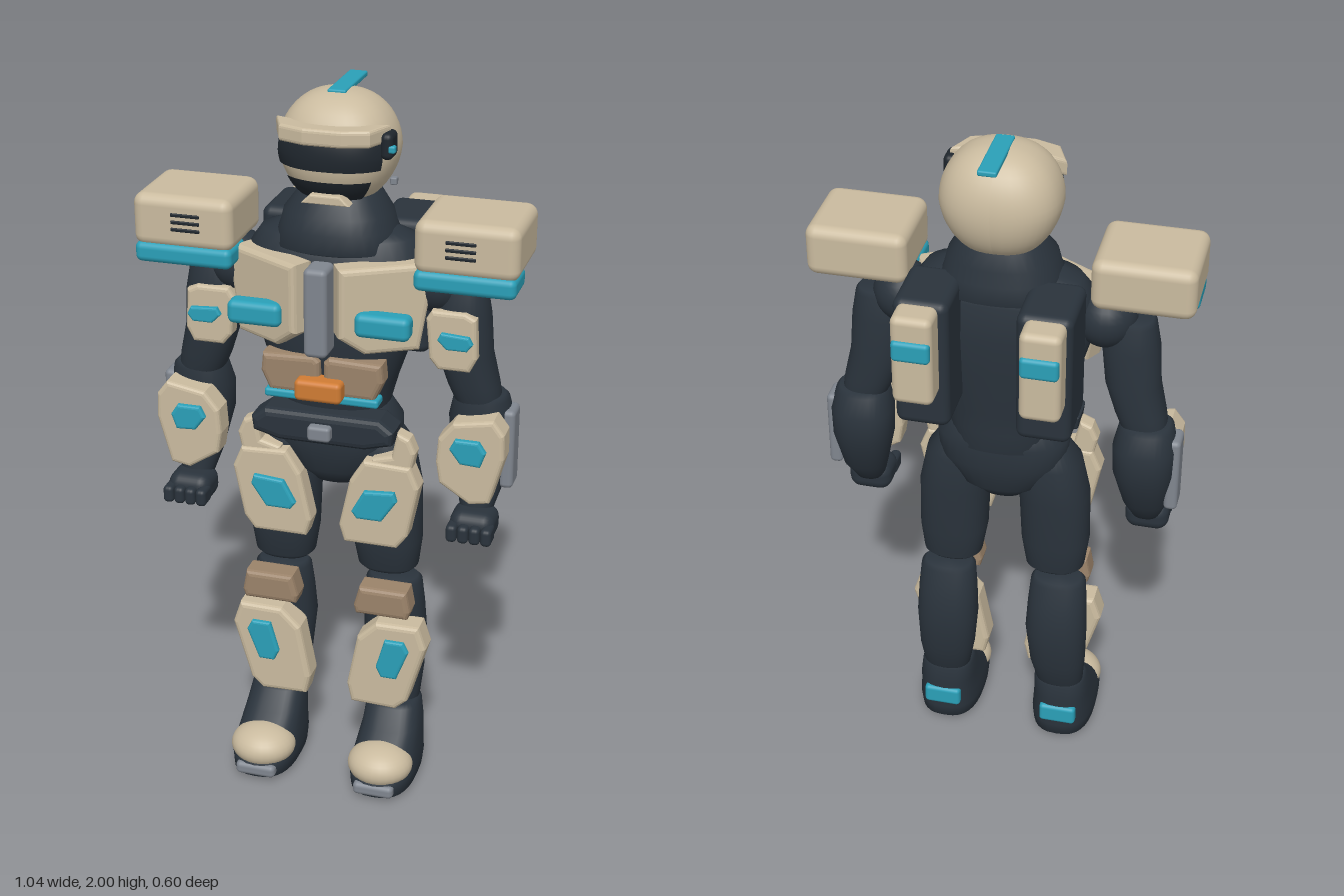
import * as THREE from 'three';
import { RoundedBoxGeometry } from 'three/addons/geometries/RoundedBoxGeometry.js';

const mat = (name, color) => new THREE.MeshStandardMaterial({ name, color });
const M = {
  tan: mat('tan armour', 0xcabb9f), dark: mat('dark suit', 0x2a333c), teal: mat('teal accent', 0x2aa0b8),
  brown: mat('brown padding', 0x9b836a), orange: mat('orange buckle', 0xd07c34),
  grey: mat('grey metal', 0x80868f), visor: mat('visor', 0x1f262d),
};
M.visor.side = THREE.DoubleSide;

// Squares off a circle slightly when the power is below 1
const bend = (v, power) => Math.sign(v) * Math.abs(v) ** power;

export function createModel() {
  const model = new THREE.Group();
  model.name = 'armouredFigure';

  const add = (name, geo, m, x = 0, y = 0, z = 0, parent = model) => {
    const mesh = new THREE.Mesh(geo, m);
    mesh.name = name;
    mesh.position.set(x, y, z);
    parent.add(mesh);
    return mesh;
  };

  // Rounded box given by its limits on each axis
  const box = (name, m, [x0, x1], [y0, y1], [z0, z1], r = 0.012, parent = model) => {
    const w = Math.abs(x1 - x0), h = y1 - y0, d = z1 - z0;
    const geo = new RoundedBoxGeometry(w, h, d, 3, Math.min(r, w * 0.45, h * 0.45, d * 0.45));
    return add(name, geo, m, (x0 + x1) / 2, (y0 + y1) / 2, (z0 + z1) / 2, parent);
  };

  // Bevelled plate from an outline in x, y, between two depths
  const plate = (name, m, s, pts, z0, z1, parent = model, bevel = 0.012) => {
    const b = Math.min(bevel, (z1 - z0) * 0.4);
    const geo = new THREE.ExtrudeGeometry(new THREE.Shape(pts.map(([x, y]) => new THREE.Vector2(x * s, y))), {
      depth: z1 - z0 - 2 * b, bevelEnabled: true, bevelThickness: b, bevelSize: b, bevelOffset: -b, bevelSegments: 3,
    });
    return add(name, geo, m, 0, 0, z0 + b, parent);
  };

  // Smooth body through rings [y, x, z, rx, rz], bottom to top, with rounded ends
  const loft = (name, m, rings, s = 1, parent = model, power = 0.85) => {
    const N = 32, pos = [], idx = [];
    const shrink = ([y, x, z, a, b], dy, k) => [y + dy, x, z, a * k, b * k];
    const first = rings[0], last = rings[rings.length - 1];
    const all = [shrink(first, 0, 0.001), shrink(first, 0, 0.85), shrink(first, 0.012, 1), ...rings.slice(1, -1),
      shrink(last, -0.012, 1), shrink(last, 0, 0.85), shrink(last, 0, 0.001)];
    for (const [y, x, z, rx, rz] of all)
      for (let i = 0; i < N; i++) {
        const t = (i / N) * Math.PI * 2;
        pos.push(x * s + rx * bend(Math.cos(t), power), y, z + rz * bend(Math.sin(t), power));
      }
    for (let j = 0; j < all.length - 1; j++)
      for (let i = 0; i < N; i++) {
        const a = j * N + i, b = j * N + (i + 1) % N;
        idx.push(a, a + N, b, b, a + N, b + N);
      }
    const geo = new THREE.BufferGeometry();
    geo.setAttribute('position', new THREE.Float32BufferAttribute(pos, 3));
    geo.setIndex(idx);
    geo.computeVertexNormals();
    return add(name, geo, m, 0, 0, 0, parent);
  };

  // Patch of the helmet surface: half-width and polar limits in radians, outward scale
  const headPatch = (name, m, half, t0, t1, grow) => {
    const geo = new THREE.SphereGeometry(1, 40, 24, Math.PI / 2 - half, half * 2, t0, t1 - t0);
    const p = geo.attributes.position;
    for (let i = 0; i < p.count; i++) {
      const y = p.getY(i), z = p.getZ(i), taper = 1 + 0.1 * Math.min(0, y);
      p.setXYZ(i, 0.16 * grow * taper * bend(p.getX(i), 0.85), 0.152 * y, (z > 0 ? 0.148 : 0.138) * grow * bend(z, 0.85));
    }
    geo.computeVertexNormals();
    add(name, geo, m, 0, 1.845, 0.015);
  };

  // Helmet, visor, mouth guard, brim and crest
  headPatch('helmet', M.tan, Math.PI, 0, Math.PI, 1);
  headPatch('visor', M.visor, 0.95, 1.27, 1.77, 1.045);
  headPatch('mouthGuard', M.visor, 0.8, 1.98, 2.6, 1.05);
  const brim = new THREE.Shape([[-0.145, -0.09], [-0.115, -0.155], [-0.05, -0.178], [0.05, -0.178], [0.115, -0.155],
    [0.145, -0.09], [0.1, -0.105], [-0.1, -0.105]].map(([x, y]) => new THREE.Vector2(x, y)));
  const brimGeo = new THREE.ExtrudeGeometry(brim, { depth: 0.025, bevelThickness: 0.01, bevelSize: 0.008, bevelSegments: 3 });
  brimGeo.rotateX(-Math.PI / 2);
  add('brim', brimGeo, M.tan, 0, 1.895, 0);
  plate('chinGuard', M.tan, 1, [[-0.065, 1.725], [0.065, 1.725], [0.04, 1.75], [-0.04, 1.75]], 0.12, 0.16, model, 0.006);
  box('crest', M.teal, [-0.025, 0.025], [1.985, 2.0], [-0.15, 0.055], 0.005);
  box('earUnit', M.visor, [0.135, 0.168], [1.845, 1.915], [0.06, 0.125], 0.015);
  box('earLight', M.teal, [0.155, 0.176], [1.865, 1.885], [0.105, 0.125], 0.006);
  box('cheekStud', M.grey, [0.14, 0.158], [1.755, 1.775], [0.02, 0.04], 0.004);

  // Trunk
  loft('collar', M.dark, [[1.58, 0, 0.03, 0.18, 0.14], [1.64, 0, 0.03, 0.155, 0.13], [1.68, 0, 0.03, 0.145, 0.12],
    [1.74, 0, 0.02, 0.11, 0.1]]);
  loft('torso', M.dark, [[1.08, 0, 0.04, 0.15, 0.11], [1.15, 0, 0.045, 0.15, 0.11], [1.22, 0, 0.05, 0.17, 0.125],
    [1.35, 0, 0.05, 0.215, 0.135], [1.47, 0, 0.045, 0.25, 0.14], [1.57, 0, 0.04, 0.245, 0.125], [1.62, 0, 0.035, 0.21, 0.1],
    [1.645, 0, 0.03, 0.17, 0.08]]);
  loft('pelvis', M.dark, [[0.9, 0, 0.045, 0.075, 0.06], [0.95, 0, 0.045, 0.125, 0.095], [1.03, 0, 0.045, 0.185, 0.11],
    [1.1, 0, 0.045, 0.185, 0.11], [1.16, 0, 0.045, 0.15, 0.1]]);
  box('sternum', M.grey, [-0.032, 0.032], [1.335, 1.58], [0.17, 0.255], 0.015);
  box('waistStrip', M.teal, [-0.158, 0.158], [1.188, 1.212], [0.15, 0.205], 0.008);
  box('buckle', M.orange, [-0.065, 0.065], [1.2, 1.26], [0.17, 0.238], 0.014);
  plate('belt', M.dark, 1, [[-0.16, 1.15], [0.16, 1.15], [0.2, 1.12], [0.195, 1.08], [0.12, 1.06], [-0.12, 1.06],
    [-0.195, 1.08], [-0.2, 1.12]], 0.1, 0.205, model, 0.02);
  box('beltClasp', M.grey, [-0.032, 0.032], [1.082, 1.125], [0.195, 0.23], 0.01);

  for (const s of [1, -1]) {
    const side = new THREE.Group();
    side.name = s > 0 ? 'leftSide' : 'rightSide';
    model.add(side);
    const sBox = (name, m, [x0, x1], y, z, r) => box(name, m, [x0 * s, x1 * s], y, z, r, side);
    const sPlate = (name, m, pts, z0, z1, b) => plate(name, m, s, pts, z0, z1, side, b);
    const sLoft = (name, m, rings, p) => loft(name, m, rings, s, side, p);

    // Angled chest plate, its light and the belly pad
    const chest = sPlate('chestPlate', M.tan, [[0, 1.39], [0.07, 1.34], [0.22, 1.34], [0.255, 1.54], [0.23, 1.58],
      [0, 1.58]], 0, 0.075, 0.015);
    chest.position.set(0.033 * s, 0, 0.19);
    chest.rotation.y = s * 0.52;
    sBox('chestLight', M.teal, [0.1, 0.248], [1.4, 1.465], [0.18, 0.24], 0.018);
    sPlate('bellyPad', M.brown, [[0.005, 1.25], [0.045, 1.205], [0.145, 1.205], [0.17, 1.26], [0.165, 1.31], [0.02, 1.315],
      [0.005, 1.3]], 0.13, 0.2, 0.015);

    // Back pod
    sBox('backPod', M.dark, [0.088, 0.236], [1.262, 1.642], [-0.218, -0.02], 0.025);
    sBox('podThruster', M.tan, [0.112, 0.222], [1.375, 1.635], [-0.29, -0.2], 0.02);
    sBox('podLight', M.teal, [0.116, 0.218], [1.51, 1.57], [-0.3, -0.27], 0.012);

    // Shoulder pad
    sBox('shoulderPad', M.tan, [0.244, 0.52], [1.575, 1.72], [-0.05, 0.2], 0.03);
    sBox('shoulderTrim', M.teal, [0.246, 0.515], [1.532, 1.588], [0.075, 0.204], 0.018);
    for (let i = 0; i < 3; i++)
      sBox('shoulderVent', M.visor, [0.33, 0.41], [1.627 + i * 0.02, 1.637 + i * 0.02], [0.196, 0.203], 0.003);
    add('shoulderJoint', new THREE.SphereGeometry(0.085, 24, 16), M.dark, 0.275 * s, 1.51, 0.045, side);

    // Arm
    sLoft('upperArm', M.dark, [[1.15, 0.4, 0.035, 0.06, 0.06], [1.23, 0.38, 0.04, 0.07, 0.065],
      [1.32, 0.355, 0.045, 0.075, 0.07], [1.43, 0.345, 0.05, 0.078, 0.07], [1.515, 0.345, 0.05, 0.065, 0.06]]);
    sPlate('upperArmPlate', M.tan, [[0.275, 1.32], [0.3, 1.29], [0.385, 1.29], [0.405, 1.33], [0.4, 1.44], [0.37, 1.455],
      [0.28, 1.455], [0.265, 1.43]], 0.075, 0.132);
    sPlate('upperArmLight', M.teal, [[0.3, 1.38], [0.325, 1.355], [0.38, 1.355], [0.395, 1.375], [0.385, 1.395],
      [0.31, 1.4]], 0.12, 0.146, 0.006);
    sLoft('forearm', M.dark, [[0.86, 0.405, 0.07, 0.045, 0.045], [0.93, 0.405, 0.04, 0.062, 0.06],
      [1.05, 0.4, 0.018, 0.085, 0.082], [1.13, 0.4, 0.02, 0.088, 0.08], [1.2, 0.4, 0.03, 0.075, 0.07]]);
    sPlate('forearmPlate', M.tan, [[0.305, 1.03], [0.315, 0.97], [0.4, 0.915], [0.455, 0.925], [0.492, 1.06], [0.49, 1.13],
      [0.46, 1.17], [0.35, 1.15], [0.31, 1.1]], 0.075, 0.155);
    sPlate('forearmLight', M.teal, [[0.345, 1.08], [0.375, 1.04], [0.43, 1.037], [0.445, 1.08], [0.425, 1.11],
      [0.36, 1.11]], 0.14, 0.17, 0.008);
    sBox('forearmGuard', M.grey, [0.462, 0.5], [0.935, 1.165], [-0.01, 0.07], 0.014);
    sBox('hand', M.dark, [0.345, 0.47], [0.8, 0.888], [0.05, 0.165], 0.035);
    for (let i = 0; i < 4; i++)
      sBox('finger', M.dark, [0.345 + i * 0.032, 0.375 + i * 0.032], [0.812, 0.862], [0.13, 0.19], 0.012);

    // Hip and thigh
    sPlate('hipPlate', M.tan, [[0.125, 0.985], [0.16, 0.965], [0.235, 0.97], [0.252, 1.05], [0.235, 1.09], [0.2, 1.105],
      [0.185, 1.035], [0.13, 1.02]], 0.11, 0.165);
    sLoft('thigh', M.dark, [[0.642, 0.152, 0.05, 0.085, 0.068], [0.74, 0.15, 0.055, 0.098, 0.08],
      [0.9, 0.145, 0.055, 0.1, 0.09], [1.02, 0.13, 0.05, 0.09, 0.085], [1.09, 0.12, 0.05, 0.06, 0.06]]);
    sPlate('thighPlate', M.tan, [[0.04, 0.81], [0.055, 0.76], [0.205, 0.76], [0.235, 0.8], [0.265, 0.95], [0.24, 1.01],
      [0.11, 1.015], [0.07, 0.95]], 0.105, 0.175);
    sPlate('thighLight', M.teal, [[0.08, 0.865], [0.095, 0.845], [0.165, 0.845], [0.208, 0.91], [0.2, 0.937],
      [0.115, 0.93]], 0.16, 0.19, 0.008);

    // Knee and shin
    sPlate('kneePad', M.brown, [[0.088, 0.535], [0.238, 0.535], [0.246, 0.56], [0.235, 0.62], [0.098, 0.62], [0.082, 0.56]],
      0.095, 0.175, 0.015);
    sLoft('shin', M.dark, [[0.2, 0.175, 0.038, 0.07, 0.052], [0.3, 0.17, 0.022, 0.082, 0.065],
      [0.43, 0.165, 0.015, 0.09, 0.072], [0.52, 0.165, 0.025, 0.086, 0.066], [0.606, 0.165, 0.034, 0.08, 0.056]]);
    sPlate('shinPlate', M.tan, [[0.055, 0.28], [0.068, 0.222], [0.2, 0.218], [0.235, 0.25], [0.287, 0.43], [0.265, 0.497],
      [0.14, 0.495], [0.085, 0.44]], 0.065, 0.148, 0.015);
    sPlate('shinLight', M.teal, [[0.145, 0.36], [0.16, 0.328], [0.205, 0.328], [0.24, 0.42], [0.225, 0.45],
      [0.17, 0.45]], 0.13, 0.161, 0.008);

    // Boot
    sLoft('boot', M.dark, [[0, 0.178, 0.14, 0.092, 0.155], [0.05, 0.178, 0.138, 0.096, 0.157],
      [0.09, 0.178, 0.122, 0.092, 0.14], [0.15, 0.178, 0.076, 0.084, 0.095], [0.215, 0.175, 0.055, 0.078, 0.07]], 0.75);
    const toe = add('toeCap', new THREE.SphereGeometry(1, 28, 18), M.tan, 0.177 * s, 0.078, 0.212, side);
    toe.scale.set(0.094, 0.06, 0.088);
    sBox('toeBumper', M.grey, [0.118, 0.236], [0.013, 0.052], [0.24, 0.3], 0.014);
    sBox('heelLight', M.teal, [0.125, 0.235], [0.068, 0.13], [-0.026, 0.015], 0.012);
  }
  return model;
}
